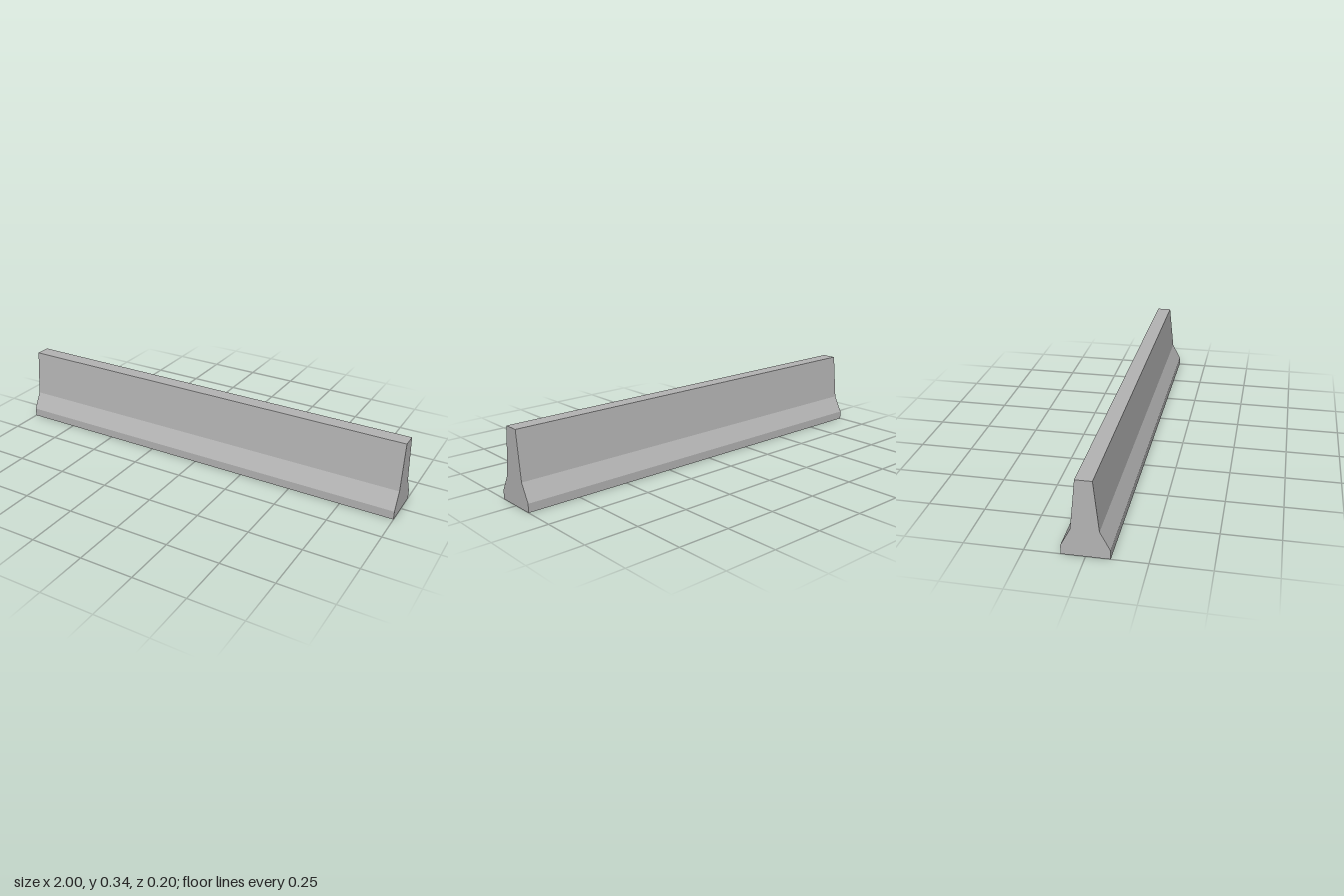
import * as THREE from 'three';

export function createModel() {
  const group = new THREE.Group();
  group.name = 'roadBarrier';

  const concrete = new THREE.MeshStandardMaterial({ color: 0xb4b4b4 });
  concrete.name = 'concrete grey';

  // Half profile (half width, height), mirrored into a closed cross-section
  const half = [[0.1, 0], [0.1, 0.04], [0.058, 0.12], [0.035, 0.341]];
  const mirrored = half.map(([w, y]) => [-w, y]).reverse();
  const profile = new THREE.Shape([...half, ...mirrored].map(([w, y]) => new THREE.Vector2(w, y)));

  // Barrier body: the profile swept along x
  const length = 2;
  const geometry = new THREE.ExtrudeGeometry(profile, { depth: length, bevelEnabled: false });
  geometry.translate(0, 0, -length / 2);
  geometry.rotateY(Math.PI / 2);

  const body = new THREE.Mesh(geometry, concrete);
  body.name = 'barrierBody';
  group.add(body);
  return group;
}
